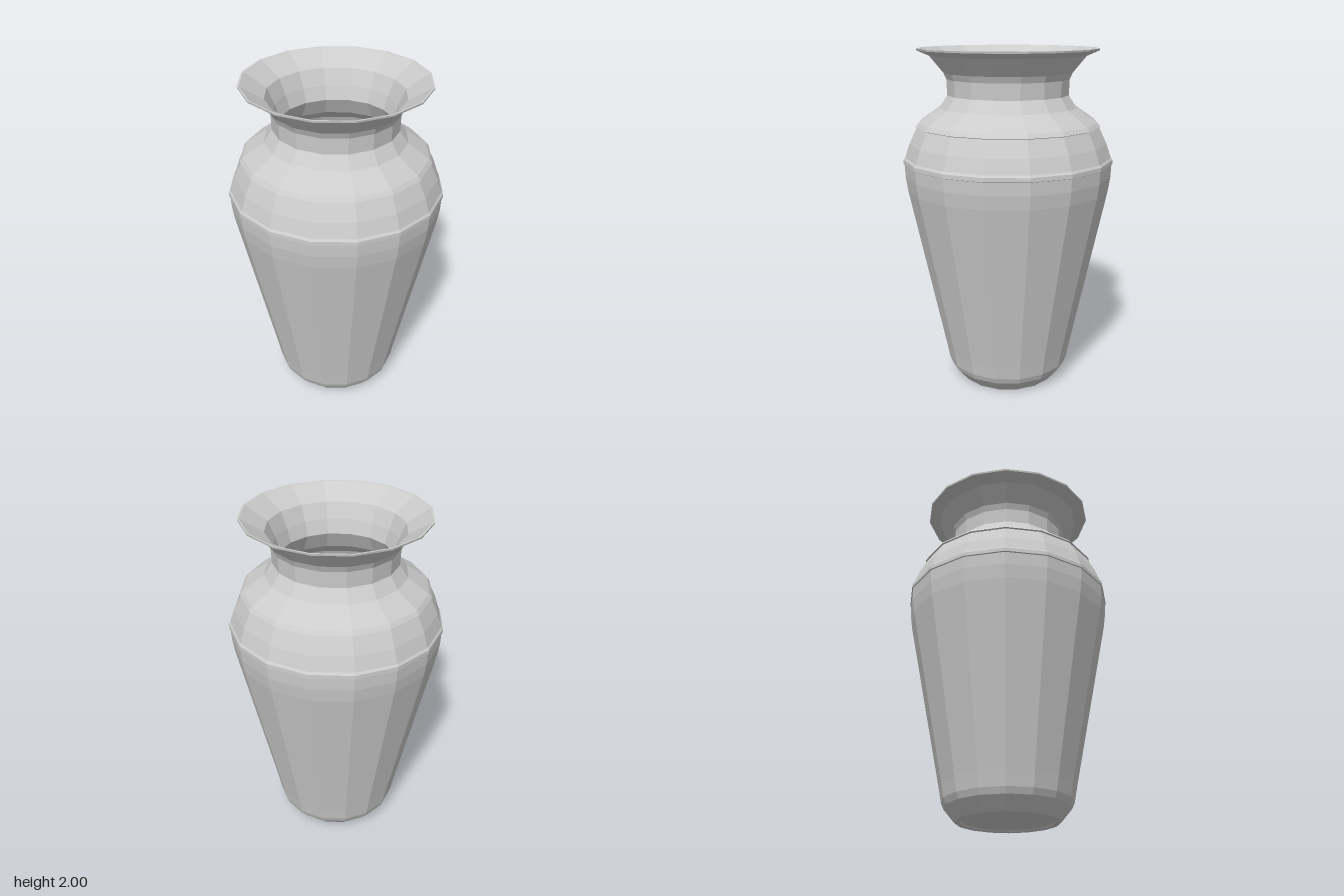
import * as THREE from 'three';

const SIDES = 16;
const material = new THREE.MeshStandardMaterial({ color: 0xcccccc, flatShading: true });

// Turns a [radius, height] profile into one faceted ring of the vase
function turned(name, profile) {
  const points = profile.map(([r, y]) => new THREE.Vector2(r, y));
  const mesh = new THREE.Mesh(new THREE.LatheGeometry(points, SIDES), material);
  mesh.name = name;
  return mesh;
}

export function createModel() {
  const vase = new THREE.Group();
  vase.name = 'vase';

  // Foot with a shallow recess underneath
  vase.add(turned('foot', [
    [0, 0.012], [0.255, 0.012], [0.265, 0], [0.292, 0], [0.305, 0.015],
    [0.355, 0.075], [0.37, 0.11],
  ]));

  // Tapering body
  vase.add(turned('body', [
    [0.37, 0.11], [0.385, 0.19], [0.593, 1.2], [0.604, 1.28], [0.607, 1.352],
  ]));

  // Raised band round the widest part
  vase.add(turned('band', [
    [0.607, 1.352], [0.613, 1.355], [0.612, 1.378], [0.602, 1.39],
  ]));

  // Shoulder with a small overhanging step
  vase.add(turned('shoulder', [
    [0.602, 1.39], [0.575, 1.47], [0.53, 1.562], [0.538, 1.566], [0.52, 1.588],
    [0.4, 1.67], [0.352, 1.74],
  ]));

  // Neck flaring out to a thin rim
  vase.add(turned('neck', [
    [0.352, 1.74], [0.355, 1.83], [0.37, 1.865], [0.448, 1.96], [0.518, 1.99],
    [0.52, 2], [0.51, 2],
  ]));

  // Hollow inside, from the rim down to the floor
  vase.add(turned('interior', [
    [0.51, 2], [0.385, 1.92], [0.345, 1.83], [0.32, 1.75], [0.37, 1.65],
    [0.5, 1.56], [0.575, 1.38], [0.57, 1.2], [0.36, 0.19], [0.33, 0.11], [0, 0.11],
  ]));

  return vase;
}
